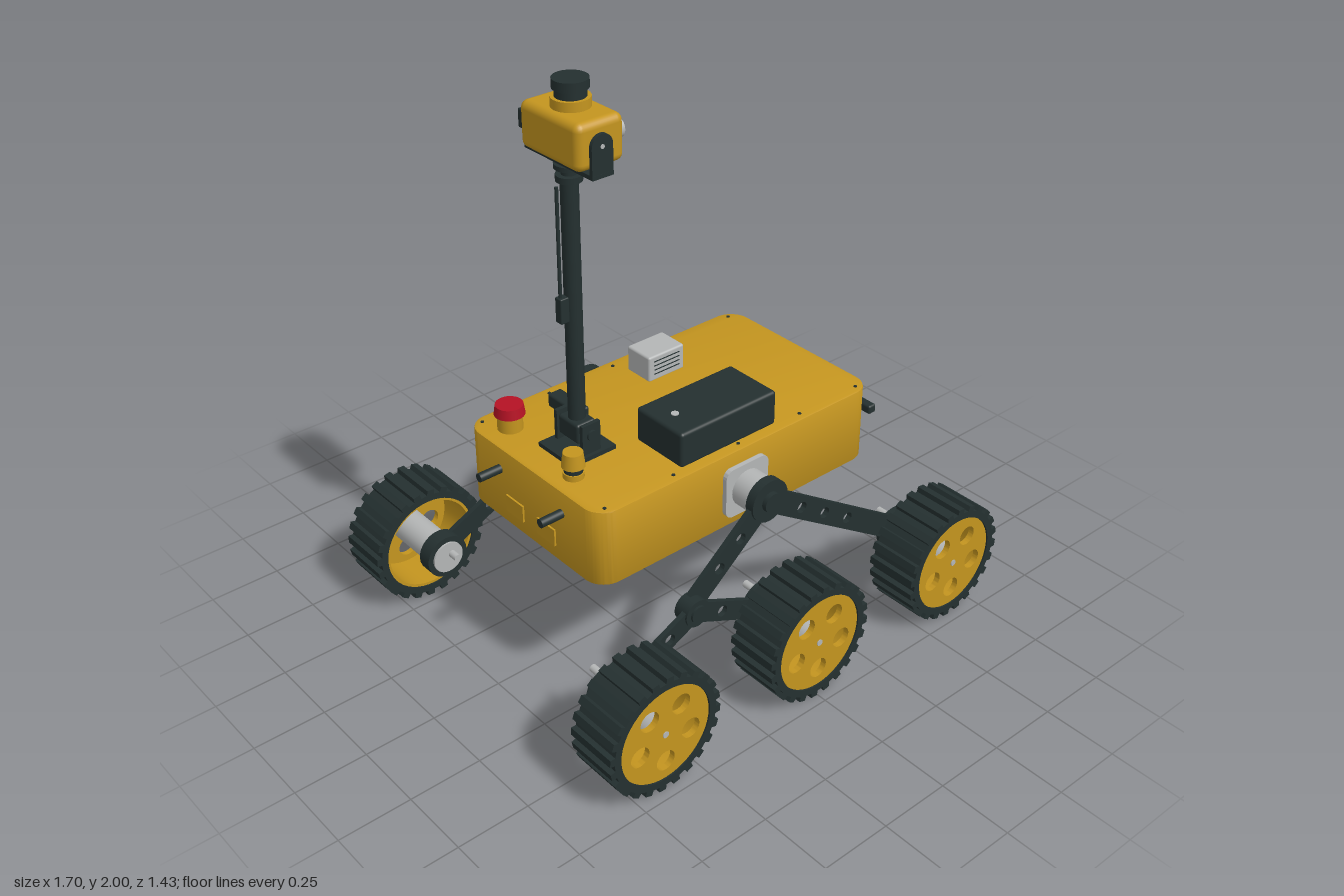
import * as THREE from 'three';
import { toCreasedNormals } from 'three/addons/utils/BufferGeometryUtils.js';
import { RoundedBoxGeometry } from 'three/addons/geometries/RoundedBoxGeometry.js';

const material = (name, color) => Object.assign(new THREE.MeshStandardMaterial({ color }), { name });
const yellow = material('yellow paint', 0xc4951f);
const dark = material('dark rubber and metal', 0x243030);
const grey = material('light grey metal', 0xb4b6b6);
const red = material('red button', 0xb51224);

function add(parent, name, geometry, mat) {
  const mesh = new THREE.Mesh(geometry, mat);
  mesh.name = name;
  parent.add(mesh);
  return mesh;
}

// Box given by its lower and upper limits; r rounds the edges
function box(parent, name, mat, x0, x1, y0, y1, z0, z1, r = 0) {
  const w = x1 - x0, h = y1 - y0, d = z1 - z0;
  const g = r ? new RoundedBoxGeometry(w, h, d, 3, r) : new THREE.BoxGeometry(w, h, d);
  return add(parent, name, g.translate((x0 + x1) / 2, (y0 + y1) / 2, (z0 + z1) / 2), mat);
}

// Cylinder along an axis from a to b; p and q are the other two coordinates in xyz order
function rod(parent, name, mat, axis, a, b, p, q, r, r2 = r, sides = 28) {
  const g = new THREE.CylinderGeometry(r2, r, Math.abs(b - a), sides);
  const m = (a + b) / 2;
  if (axis === 'x') g.rotateZ(-Math.PI / 2).translate(m, p, q);
  if (axis === 'y') g.translate(p, m, q);
  if (axis === 'z') g.rotateX(Math.PI / 2).translate(p, q, m);
  return add(parent, name, g, mat);
}

// Extrusion along z between a and b on side s (+1 or -1)
function slab(parent, name, mat, shape, a, b, s = 1) {
  const g = new THREE.ExtrudeGeometry(shape, { depth: b - a, bevelEnabled: false, curveSegments: 24 });
  return add(parent, name, toCreasedNormals(g.translate(0, 0, s > 0 ? a : -b), 0.5), mat);
}

const circle = (r, x = 0, y = 0) => new THREE.Path().absarc(x, y, r, 0, Math.PI * 2, true);

function roundedRect(w, h, r) {
  const s = new THREE.Shape();
  s.absarc(w / 2 - r, h / 2 - r, r, 0, Math.PI / 2);
  s.absarc(-w / 2 + r, h / 2 - r, r, Math.PI / 2, Math.PI);
  s.absarc(-w / 2 + r, -h / 2 + r, r, Math.PI, Math.PI * 1.5);
  s.absarc(w / 2 - r, -h / 2 + r, r, Math.PI * 1.5, Math.PI * 2);
  return s;
}

// Round-ended link plate with lightening holes at fractions of its length
function link(parent, name, from, to, width, holes, a, b, s) {
  const dx = to[0] - from[0], dy = to[1] - from[1], len = Math.hypot(dx, dy);
  const t = Math.atan2(dy, dx), r = width / 2;
  const shape = new THREE.Shape();
  shape.absarc(to[0], to[1], r, t - Math.PI / 2, t + Math.PI / 2);
  shape.absarc(from[0], from[1], r, t + Math.PI / 2, t + Math.PI * 1.5);
  for (const f of holes) shape.holes.push(circle(0.02, from[0] + dx * f, from[1] + dy * f));
  return len && slab(parent, name, dark, shape, a, b, s);
}

function wheel(parent, x, s) {
  const g = new THREE.Group();
  g.name = 'wheel';
  g.position.set(x, 0.215, 0);
  parent.add(g);
  // Toothed tyre
  const teeth = 24, tyre = new THREE.Shape();
  for (let i = 0; i < teeth; i++) {
    [[0, 0.196], [0.45, 0.196], [0.5, 0.214], [0.95, 0.214]].forEach(([f, r], k) => {
      const a = (i + f) / teeth * Math.PI * 2;
      tyre[i + k ? 'lineTo' : 'moveTo'](r * Math.cos(a), r * Math.sin(a));
    });
  }
  tyre.closePath();
  tyre.holes.push(circle(0.172));
  slab(g, 'tyre', dark, tyre, 0.53, 0.715, s);
  // Open rim and its face with five holes
  const rim = new THREE.Shape().absarc(0, 0, 0.172, 0, Math.PI * 2);
  rim.holes.push(circle(0.162));
  slab(g, 'rim', yellow, rim, 0.535, 0.708, s);
  const face = new THREE.Shape().absarc(0, 0, 0.17, 0, Math.PI * 2);
  for (let i = 0; i < 5; i++) {
    const a = -Math.PI / 2 + i * Math.PI * 0.4;
    face.holes.push(circle(0.035, 0.103 * Math.cos(a), 0.103 * Math.sin(a)));
  }
  slab(g, 'wheelFace', yellow, face, 0.69, 0.711, s);
  rod(g, 'axleTip', grey, 'z', s * 0.68, s * 0.714, 0, 0, 0.011);
  // Drive motor
  rod(g, 'motor', grey, 'z', s * 0.423, s * 0.69, 0, 0, 0.057);
  rod(g, 'motorClamp', dark, 'z', s * 0.43, s * 0.483, 0, 0, 0.077);
  rod(g, 'motorStub', grey, 'z', s * 0.365, s * 0.4, 0, 0.03, 0.013);
}

function suspension(parent, s) {
  const g = new THREE.Group();
  g.name = s > 0 ? 'suspensionFrontSide' : 'suspensionBackSide';
  parent.add(g);
  const pivot = [0, 0.63], bogie = [-0.32, 0.365];
  // Rocker mount on the body
  const plate = slab(g, 'pivotPlate', grey, roundedRect(0.18, 0.18, 0.03), 0.34, 0.362, s);
  plate.position.y = 0.63;
  rod(g, 'pivotTube', grey, 'z', s * 0.35, s * 0.44, ...pivot, 0.065);
  rod(g, 'pivotHub', dark, 'z', s * 0.435, s * 0.468, ...pivot, 0.075);
  rod(g, 'pivotCap', dark, 'z', s * 0.46, s * 0.485, ...pivot, 0.035);
  // Rocker and bogie links
  link(g, 'rockerFrontLink', pivot, [0.635, 0.215], 0.08, [0.24, 0.41, 0.585], 0.44, 0.46, s);
  link(g, 'rockerRearLink', pivot, bogie, 0.08, [0.36, 0.635], 0.44, 0.46, s);
  link(g, 'bogieRearLink', bogie, [-0.64, 0.215], 0.07, [0.34], 0.467, 0.485, s);
  link(g, 'bogieFrontLink', bogie, [0, 0.215], 0.07, [0.34], 0.467, 0.485, s);
  rod(g, 'bogieHub', dark, 'z', s * 0.435, s * 0.492, ...bogie, 0.048);
  rod(g, 'bogiePin', dark, 'z', s * 0.43, s * 0.5, ...bogie, 0.03);
  for (const x of [-0.64, 0, 0.635]) wheel(g, x, s);
}

function mast(parent) {
  const g = new THREE.Group(), x = -0.395;
  g.name = 'mast';
  parent.add(g);
  // Foot and hinge
  box(g, 'mastFoot', dark, -0.485, -0.31, 0.765, 0.785, -0.085, 0.085);
  for (const s of [-1, 1]) box(g, 'hingeCheek', dark, -0.43, -0.36, 0.78, 0.89, s * 0.065 - 0.007, s * 0.065 + 0.007);
  box(g, 'hingeBlock', dark, -0.432, -0.358, 0.815, 0.885, -0.05, 0.05, 0.01);
  rod(g, 'hingePin', dark, 'z', -0.08, 0.08, x, 0.85, 0.018);
  box(g, 'hingeMotor', dark, -0.375, -0.322, 0.828, 0.876, -0.18, -0.03, 0.008);
  // Pole, collars and cable
  rod(g, 'pole', dark, 'y', 0.82, 1.71, x, 0, 0.028);
  rod(g, 'lowerCollar', dark, 'y', 1.69, 1.71, x, 0, 0.041);
  rod(g, 'neck', dark, 'y', 1.7, 1.76, x, 0, 0.024);
  rod(g, 'upperCollar', dark, 'y', 1.73, 1.745, x, 0, 0.045);
  rod(g, 'cable', dark, 'y', 1.3, 1.68, -0.442, 0, 0.006, 0.006, 10);
  box(g, 'cableClip', dark, -0.452, -0.42, 1.235, 1.32, -0.015, 0.015, 0.004);
  // Tilting yoke
  box(g, 'yokeBase', dark, -0.433, -0.357, 1.75, 1.763, -0.16, 0.16);
  for (const s of [-1, 1]) {
    box(g, 'yokeArm', dark, -0.433, -0.357, 1.75, 1.845, s * 0.153 - 0.006, s * 0.153 + 0.006);
    rod(g, 'yokeArmEnd', dark, 'z', s * 0.147, s * 0.159, x, 1.845, 0.038);
    rod(g, 'tiltPin', grey, 'z', s * 0.13, s * 0.161, x, 1.845, 0.007);
  }
  box(g, 'tiltServo', dark, -0.428, -0.365, 1.8, 1.86, -0.195, -0.155, 0.005);
  // Camera head
  box(g, 'cameraHead', yellow, -0.466, -0.295, 1.768, 1.915, -0.138, 0.138, 0.025);
  for (const s of [-1, 1]) {
    rod(g, 'sideLens', grey, 'x', -0.3, -0.282, 1.852, s * 0.09, 0.031);
  }
  rod(g, 'centreLens', dark, 'x', -0.3, -0.281, 1.852, 0, 0.041);
  box(g, 'sensorBar', dark, -0.3, -0.287, 1.784, 1.808, -0.045, 0.045);
  rod(g, 'scannerBase', yellow, 'y', 1.91, 1.945, -0.38, 0, 0.06);
  rod(g, 'scannerBody', dark, 'y', 1.945, 1.972, -0.38, 0, 0.048);
  rod(g, 'scannerCap', dark, 'y', 1.97, 2, -0.38, 0, 0.055);
}

function deck(parent) {
  const g = new THREE.Group();
  g.name = 'deckEquipment';
  parent.add(g);
  // Dark equipment box
  box(g, 'equipmentBox', dark, -0.226, 0.175, 0.765, 0.89, 0.085, 0.303, 0.012);
  box(g, 'equipmentPlug', dark, 0.17, 0.207, 0.8, 0.84, 0.178, 0.215, 0.005);
  rod(g, 'equipmentLight', grey, 'y', 0.888, 0.893, -0.16, 0.195, 0.013);
  // Grey vented box
  box(g, 'ventBox', grey, 0.028, 0.182, 0.765, 0.86, -0.27, -0.155, 0.008);
  for (let i = 0; i < 4; i++) for (const z of [-0.271, -0.154])
    box(g, 'ventSlot', dark, 0.05, 0.16, 0.79 + i * 0.016, 0.793 + i * 0.016, z - 0.001, z + 0.001);
  // Stop button and beacon
  rod(g, 'stopButtonBase', yellow, 'y', 0.765, 0.825, -0.49, -0.23, 0.042);
  rod(g, 'stopButton', red, 'y', 0.825, 0.86, -0.49, -0.23, 0.051, 0.046);
  rod(g, 'beaconFoot', yellow, 'y', 0.765, 0.79, -0.505, 0.12, 0.034);
  rod(g, 'beaconRing', dark, 'y', 0.785, 0.81, -0.505, 0.12, 0.03);
  rod(g, 'beaconLamp', yellow, 'y', 0.81, 0.86, -0.505, 0.12, 0.038, 0.032);
  // Lid screws
  for (const s of [-1, 1]) for (const x of [-0.54, -0.27, 0, 0.27, 0.53])
    rod(g, 'lidScrew', dark, 'y', 0.768, 0.773, x, s * 0.315, 0.006, 0.006, 8);
}

function ends(parent) {
  const g = new THREE.Group();
  g.name = 'endFittings';
  parent.add(g);
  // Bumper
  box(g, 'bumperBar', dark, 0.617, 0.65, 0.617, 0.65, -0.307, 0.307, 0.008);
  for (const s of [-1, 1]) {
    box(g, 'bumperBracket', dark, 0.575, 0.625, 0.62, 0.648, s * 0.22 - 0.015, s * 0.22 + 0.015);
    // Rear handles and hatches
    rod(g, 'rearHandle', dark, 'x', -0.668, -0.57, 0.69, s * 0.16, 0.015);
    box(g, 'rearHatch', yellow, -0.593, -0.58, 0.55, 0.61, s * 0.082 - 0.045, s * 0.082 + 0.045);
  }
  // Lamp bar and sensor below the bumper
  box(g, 'lampBar', grey, 0.575, 0.609, 0.522, 0.55, -0.28, 0.28, 0.008);
  box(g, 'lampCover', yellow, 0.606, 0.612, 0.52, 0.552, -0.19, 0.2);
  box(g, 'sensorMount', grey, 0.575, 0.61, 0.515, 0.565, -0.285, -0.19, 0.008);
  rod(g, 'sensorBarrel', grey, 'x', 0.6, 0.627, 0.54, -0.238, 0.032);
}

export function createModel() {
  const model = new THREE.Group();
  model.name = 'rover';
  // Body with rounded upright corners
  const body = new THREE.ExtrudeGeometry(roundedRect(1.157, 0.68, 0.07),
    { depth: 0.26, bevelThickness: 0.005, bevelSize: 0.005, bevelSegments: 2, curveSegments: 10 });
  body.rotateX(-Math.PI / 2).translate(-0.003, 0.505, 0);
  add(model, 'body', toCreasedNormals(body, 0.6), yellow);
  deck(model);
  mast(model);
  ends(model);
  for (const s of [1, -1]) suspension(model, s);
  return model;
}
